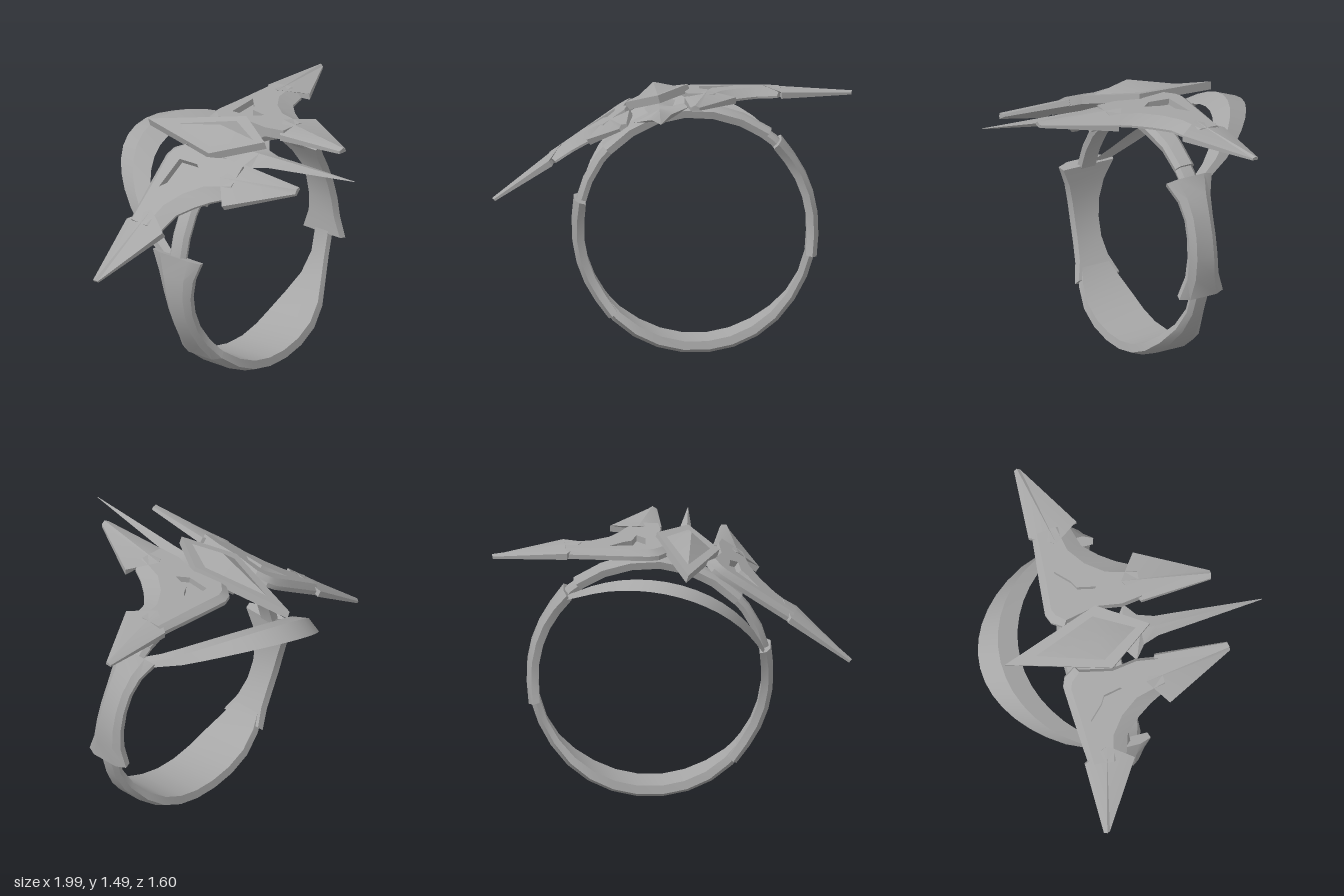
import * as THREE from 'three';
import { toCreasedNormals } from 'three/addons/utils/BufferGeometryUtils.js';

const steel = new THREE.MeshStandardMaterial({ color: 0xa6a6a6 });
steel.name = 'steel';

function mesh(name, geometry) {
  const m = new THREE.Mesh(toCreasedNormals(geometry, 0.45), steel);
  m.name = name;
  return m;
}

// Skins a row of equal-sized cross-sections; turns the faces outward by signed volume
function loft(sections, closed = false) {
  const n = sections[0].length, rows = sections.length;
  const pos = sections.flat(2), idx = [];
  for (let i = 0; i < (closed ? rows : rows - 1); i++) {
    for (let j = 0; j < n; j++) {
      const a = i * n + j, b = i * n + (j + 1) % n;
      const k = ((i + 1) % rows) * n;
      const c = k + (j + 1) % n, d = k + j;
      idx.push(a, b, c, a, c, d);
    }
  }
  if (!closed) {
    const e = (rows - 1) * n;
    for (let j = 1; j < n - 1; j++) idx.push(0, j + 1, j, e, e + j, e + j + 1);
  }
  const p = i => new THREE.Vector3(pos[i * 3], pos[i * 3 + 1], pos[i * 3 + 2]);
  let volume = 0;
  for (let i = 0; i < idx.length; i += 3) {
    volume += p(idx[i]).dot(p(idx[i + 1]).cross(p(idx[i + 2])));
  }
  if (volume < 0) idx.reverse();
  const g = new THREE.BufferGeometry();
  g.setAttribute('position', new THREE.Float32BufferAttribute(pos, 3));
  g.setIndex(idx);
  g.computeVertexNormals();
  return g;
}

// Flat plate in x/z, from y = 0 up to the given height
function plate(points, height, hole) {
  const v = list => list.map(([x, z]) => new THREE.Vector2(x, z));
  const shape = new THREE.Shape(v(points));
  if (hole) shape.holes.push(new THREE.Path(v(hole)));
  const g = new THREE.ExtrudeGeometry(shape, { depth: height, bevelEnabled: false });
  return g.rotateX(Math.PI / 2).translate(0, height, 0);
}

// Point on the finger ring: angle in degrees, radius, z
const onRing = (deg, r, z) => {
  const a = deg * Math.PI / 180;
  return [0.125 + r * Math.cos(a), 0.69 + r * Math.sin(a), z];
};
const ringZ = deg => -0.11 - 0.035 * Math.sin(deg * Math.PI / 180);

// Cross-section of the band with chamfered outer edges
function bandSection(deg, half, lift, inner) {
  const z = ringZ(deg), f = z + half, b = z - half, r = 0.664 + lift;
  return [
    onRing(deg, inner, f - 0.01), onRing(deg, r - 0.012, f),
    onRing(deg, r + 0.013, z + half * 0.6), onRing(deg, r + 0.013, z - half * 0.6),
    onRing(deg, r - 0.012, b), onRing(deg, inner, b + 0.01),
  ];
}

// Plate wrapped around part of the band, flared at both ends
function flaredPlate(name, from, to, halves) {
  const last = halves.length - 1;
  return mesh(name, loft(halves.map((h, i) => {
    const tip = i % last === 0;
    return bandSection(from + (to - from) * i / last, h, tip ? 0.012 : 0.006, tip ? 0.626 : 0.617);
  })));
}

// Ridged blade between a start and an end, each given as [side, ridge, side] in x/z
function blade(start, end, startTop, endTop) {
  const section = ([l, m, r], top) => [
    [l[0], 0, l[1]], [l[0], top * 0.55, l[1]], [m[0], top, m[1]],
    [r[0], top * 0.55, r[1]], [r[0], 0, r[1]],
  ];
  return loft([section(start, startTop), section(end, endTop)]);
}

// One wing lying flat, reaching out along +x
function wing(name) {
  const g = new THREE.Group();
  g.name = name;
  const thick = 0.055;
  const ridge = [[0.6, -0.2], [0.45, -0.17], [0.35, -0.1], [0.27, 0], [0.22, 0.17]];
  const rim = [[0.58, -0.12], [0.47, -0.09], [0.39, -0.01], [0.33, 0.07], [0.28, 0.16]];
  const back = [[0.59, -0.34], [0.3, -0.37], [0.13, -0.385], [0.075, -0.365], [0.03, -0.3]];
  const backTop = [[0.59, -0.31], [0.3, -0.33], [0.14, -0.345], [0.1, -0.33], [0.055, -0.28]];
  const outline = [...ridge, [0.08, 0.16], [0.065, 0.04], [0.09, -0.1], ...[...backTop].reverse()];
  const slot = [[0.15, -0.26], [0.35, -0.275], [0.27, -0.2], [0.225, -0.175], [0.2, -0.07], [0.15, -0.13]];
  g.add(mesh('wingBody', plate(outline, thick, slot)));
  g.add(mesh('slotFloor', new THREE.BoxGeometry(0.23, 0.015, 0.23).translate(0.25, 0.012, -0.17)));
  // sloping edges along the hollow and the back of the wing
  const slope = (top, foot, low) => loft(top.map(([x, z], i) => [
    [x, 0, z], [x, thick, z], [foot[i][0], low, foot[i][1]], [foot[i][0], 0, foot[i][1]],
  ]));
  g.add(mesh('wingRim', slope(ridge, rim, 0.012)));
  g.add(mesh('wingBackEdge', slope(backTop, back, 0.025)));
  g.add(mesh('outerBlade', blade(
    [[0.585, -0.36], [0.5, -0.22], [0.605, -0.08]],
    [[0.995, -0.338], [1, -0.32], [0.995, -0.303]], 0.064, 0.022)));
  g.add(mesh('frontBlade', blade(
    [[0.06, 0.15], [0.19, 0.07], [0.345, 0.175]],
    [[0.085, 0.555], [0.11, 0.563], [0.133, 0.56]], 0.064, 0.03)));
  g.rotation.x = -0.07;
  return g;
}

export function createModel() {
  const model = new THREE.Group();
  model.name = 'wingedRing';

  // Finger ring, broad at the bottom and narrow on the flanks
  const core = [];
  for (let deg = 0; deg < 360; deg += 12) {
    const down = THREE.MathUtils.smoothstep(-Math.sin(deg * Math.PI / 180), 0.42, 0.95);
    core.push(bandSection(deg, 0.056 + 0.104 * down, 0.01 * down, 0.624 - 0.008 * down));
  }
  model.add(mesh('band', loft(core, true)));
  model.add(flaredPlate('leftFlankPlate', 46, -13, [0.145, 0.1, 0.085, 0.085, 0.09, 0.1, 0.14]));
  model.add(flaredPlate('rightFlankPlate', 166, 226, [0.17, 0.12, 0.095, 0.085, 0.085, 0.1, 0.14]));
  model.add(flaredPlate('topPlate', 52, 138, [0.06, 0.062, 0.08, 0.07, 0.07, 0.075, 0.1]));

  // Arched hoop that swings out behind the top of the ring
  const hoop = [];
  for (let i = 0; i <= 16; i++) {
    const deg = 45 + i * 121 / 16;
    const bulge = Math.sin(Math.PI * i / 16) ** 0.8;
    const zOut = -0.28 - 0.52 * bulge, zIn = -0.15 - 0.42 * bulge;
    const mid = (zOut + zIn) / 2, edge = 0.645 - 0.035 * bulge;
    hoop.push([onRing(deg, edge, zOut), onRing(deg, 0.655, mid),
      onRing(deg, edge, zIn), onRing(deg, 0.64, mid)]);
  }
  model.add(mesh('backHoop', loft(hoop)));

  // Wings: one level, one folded down
  const leftWing = wing('leftWing');
  leftWing.position.y = 1.416;
  model.add(leftWing);
  const fold = new THREE.Group();
  fold.name = 'foldedWing';
  fold.position.set(-0.17, 1.385, 0);
  fold.rotation.z = 0.602;
  const rightWing = wing('rightWing');
  rightWing.scale.x = -1;
  fold.add(rightWing);
  model.add(fold);

  // Centre piece: kite plate with a faceted stone, tilted between the wings
  const centre = new THREE.Group();
  centre.name = 'centrePiece';
  centre.position.set(-0.075, 1.395, -0.13);
  centre.rotation.set(-0.12, 0, 0.28);
  centre.add(mesh('kitePlate', plate([[0, -0.54], [0.18, 0.03], [0, 0.295], [-0.18, 0.03]], 0.045)));
  const stone = (s, y) => [[0, y, -0.39 * s], [0.135 * s, y, 0], [0, y, 0.23 * s], [-0.135 * s, y, 0]];
  centre.add(mesh('stone', loft([stone(1, 0.04), stone(0.01, 0.108)])));
  model.add(centre);

  // Mount under the stone, running out into the long front spike
  const spike = [
    [-0.27, 0.09, 0.03, -0.06], [-0.12, 0.07, 0.03, -0.07], [0, 0.09, 0.025, -0.06],
    [0.05, 0.16, 0.02, -0.06], [0.11, 0.085, 0.022, -0.06], [0.2, 0.055, 0.028, -0.045],
    [0.32, 0.045, 0.035, -0.025], [0.8, 0.002, 0.06, 0.056],
  ].map(([z, half, top, bottom]) => {
    const side = (top + bottom) / 2;
    return [[-half, side, z], [0, top, z], [half, side, z], [0, bottom, z]];
  });
  const frontSpike = mesh('frontSpike', loft(spike));
  frontSpike.position.set(-0.07, 1.365, 0);
  frontSpike.rotation.z = 0.28;
  model.add(frontSpike);

  return model;
}
